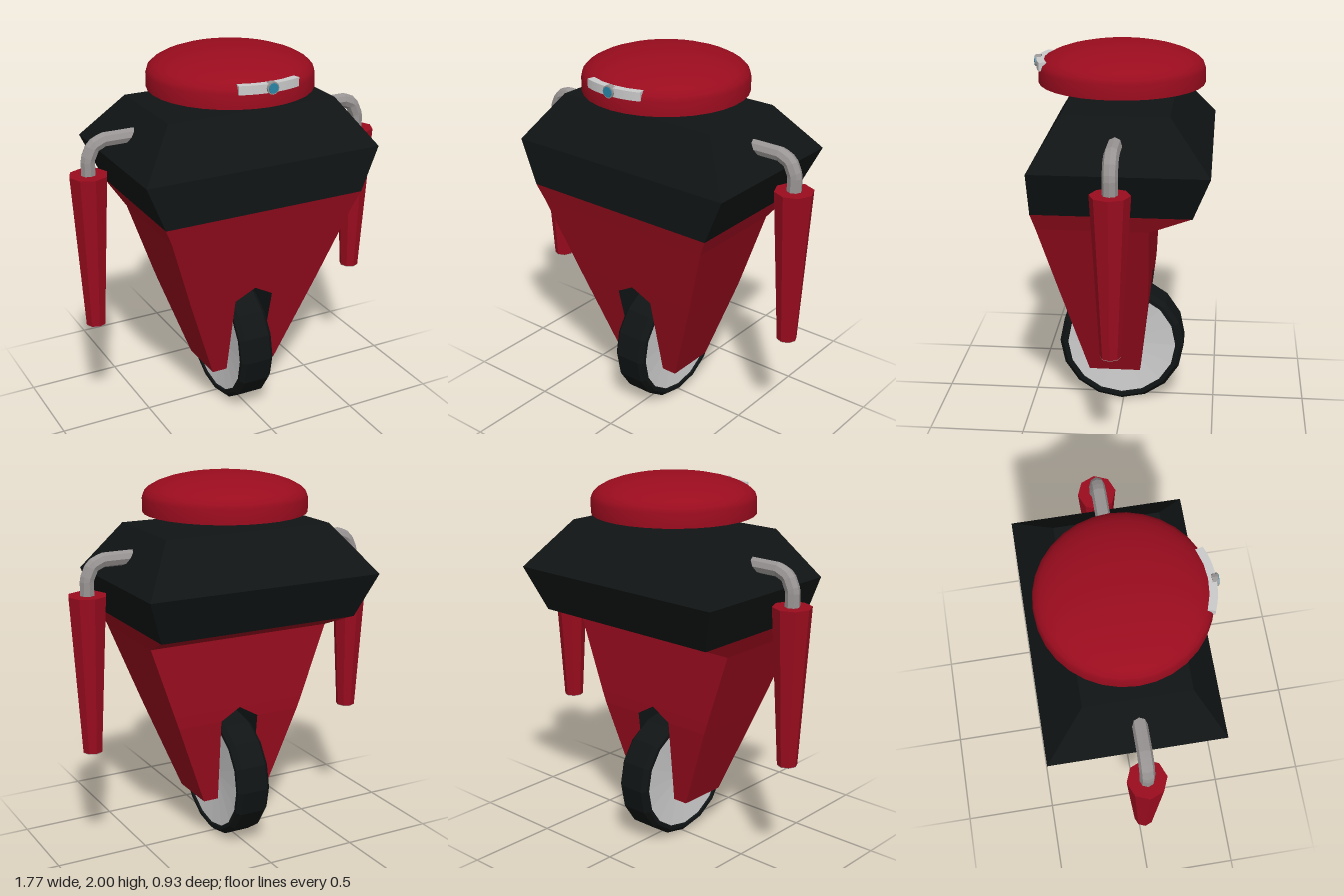
import * as THREE from 'three';
import { toCreasedNormals } from 'three/addons/utils/BufferGeometryUtils.js';

const paint = (color, flatShading = true, side = THREE.FrontSide) =>
  new THREE.MeshStandardMaterial({ color, flatShading, side });

// Flat-faced geometry from a list of four-cornered faces
function quads(faces) {
  const pts = faces.flatMap(([a, b, c, d]) => [a, b, c, a, c, d]).flat();
  const g = new THREE.BufferGeometry();
  g.setAttribute('position', new THREE.Float32BufferAttribute(pts, 3));
  g.computeVertexNormals();
  return g;
}

// Rectangular ring at height y, counter-clockwise seen from above
const ring = ([y, x0, x1, zf, zb]) => [[x0, y, zf], [x1, y, zf], [x1, y, zb], [x0, y, zb]];

// Chosen side faces between stacked rings (0 front, 1 right-hand, 2 back, 3 left-hand)
function sides(rings, which) {
  const out = [];
  for (let i = 0; i < rings.length - 1; i++) {
    for (const s of which) {
      const t = (s + 1) % 4;
      out.push([rings[i][s], rings[i][t], rings[i + 1][t], rings[i + 1][s]]);
    }
  }
  return out;
}

const lathe = (points, n) =>
  new THREE.LatheGeometry(points.map(([r, y]) => new THREE.Vector2(r, y)), n);

export function createModel() {
  const root = new THREE.Group();
  const red = paint(0x9a0c1e);
  const black = paint(0x101414);
  const steel = paint(0x9a9595);
  const grey = paint(0xcccccc);

  function add(name, geometry, material, x = 0, y = 0, z = 0, parent = root) {
    const m = new THREE.Mesh(geometry, material);
    m.name = name;
    m.position.set(x, y, z);
    parent.add(m);
    return m;
  }

  // Chest: wide belt tapering to a smaller top
  const chest = [
    [1.25, -0.56, 0.56, 0.42, -0.38],
    [1.485, -0.655, 0.655, 0.42, -0.465],
    [1.735, -0.47, 0.47, 0.27, -0.26],
  ].map(ring);
  add('chest', quads([...sides(chest, [0, 1, 2, 3]), [...chest[0]].reverse(), chest[2]]), black);

  // Lower body, one half: levels of y, inner x, outer x, front z, back z
  const half = [
    [0.235, 0.105, 0.19, 0.175, -0.1],
    [0.7, 0.11, 0.36, 0.287, -0.152],
    [0.765, 0, 0.383, 0.303, -0.155],
    [1.16, 0, 0.52, 0.398, -0.165],
    [1.25, 0, 0.56, 0.42, -0.375],
  ].map(ring);
  const shell = quads([...sides(half, [0, 1, 2]), [...half[0]].reverse()]);
  const arch = quads(sides(half.slice(0, 3), [3]));

  // Bent arm tube and tapered arm
  const bend = new THREE.CurvePath();
  const path = [[0.5, 1.61], [0.7, 1.61], [0.755, 1.585], [0.785, 1.52], [0.785, 1.42]]
    .map(([x, y]) => new THREE.Vector3(x, y, 0));
  for (let i = 0; i < path.length - 1; i++) bend.add(new THREE.LineCurve3(path[i], path[i + 1]));
  const tube = new THREE.TubeGeometry(bend, 24, 0.038, 8);
  const arm = new THREE.CylinderGeometry(0.1, 0.052, 0.83, 8);
  const tip = new THREE.CylinderGeometry(0.052, 0.052, 0.004, 8);

  for (const [label, s] of [['left', 1], ['right', -1]]) {
    const g = new THREE.Group();
    g.name = label + 'Half';
    g.scale.x = s;
    root.add(g);
    add(label + 'BodyHalf', shell, red, 0, 0, 0, g);
    add(label + 'WheelArch', arch, black, 0, 0, 0, g);
    add(label + 'ArmTube', tube, steel, 0, 0, 0, g);
    add(label + 'Arm', arm, red, 0.785, 1.025, 0, g);
    add(label + 'ArmTip', tip, steel, 0.785, 0.609, 0, g);
  }

  // Wheel: chamfered tyre, dished discs and axle, turned to lie along x
  const wheel = new THREE.Group();
  wheel.name = 'wheel';
  wheel.position.set(0, 0.342, 0.01);
  wheel.rotation.z = Math.PI / 2;
  root.add(wheel);
  add('tyre', lathe([[0.295, -0.08], [0.3, -0.095], [0.32, -0.095], [0.342, -0.072],
    [0.342, 0.072], [0.32, 0.095], [0.3, 0.095], [0.295, 0.08]], 16), black, 0, 0, 0, wheel);
  add('wheelDisc', lathe([[0, -0.06], [0.3, -0.085], [0.3, 0.085], [0, 0.06]], 16), grey, 0, 0, 0, wheel);
  add('axle', new THREE.CylinderGeometry(0.032, 0.032, 0.23, 10), steel, 0, 0, 0, wheel);

  // Neck
  add('neck', new THREE.CylinderGeometry(0.07, 0.07, 0.1, 16), paint(0x9a9595, false), 0, 1.765, 0.035);

  // Head: short drum with a shallow dome
  const profile = [[0, 1.8], [0.43, 1.8], [0.43, 1.875]];
  for (let i = 1; i <= 8; i++) {
    const a = (i / 8) * Math.PI / 2;
    profile.push([0.43 * Math.cos(a), 1.875 + 0.125 * Math.sin(a)]);
  }
  add('head', toCreasedNormals(lathe(profile, 32), 0.7), paint(0x9a0c1e, false), 0, 0, 0.013);

  // Visor: curved strip wrapped round the front of the head
  const strip = new THREE.Shape();
  const mid = Math.PI / 2;
  strip.absarc(0, 0, 0.442, mid - 0.385, mid + 0.385, false);
  strip.absarc(0, 0, 0.385, mid + 0.41, mid - 0.41, true);
  const visor = new THREE.ExtrudeGeometry(strip, { depth: 0.045, bevelEnabled: false, curveSegments: 8 });
  visor.rotateX(Math.PI / 2);
  add('visor', visor, grey, 0, 1.92, 0.01);

  // Eye: steel housing with a blue lens
  const eye = (r, d) => new THREE.CylinderGeometry(r, r, d, 12).rotateX(Math.PI / 2);
  add('eyeHousing', eye(0.032, 0.03), steel, 0, 1.898, 0.446);
  add('eyeLens', eye(0.026, 0.03), paint(0x2a86a8), 0, 1.898, 0.45);

  return root;
}
